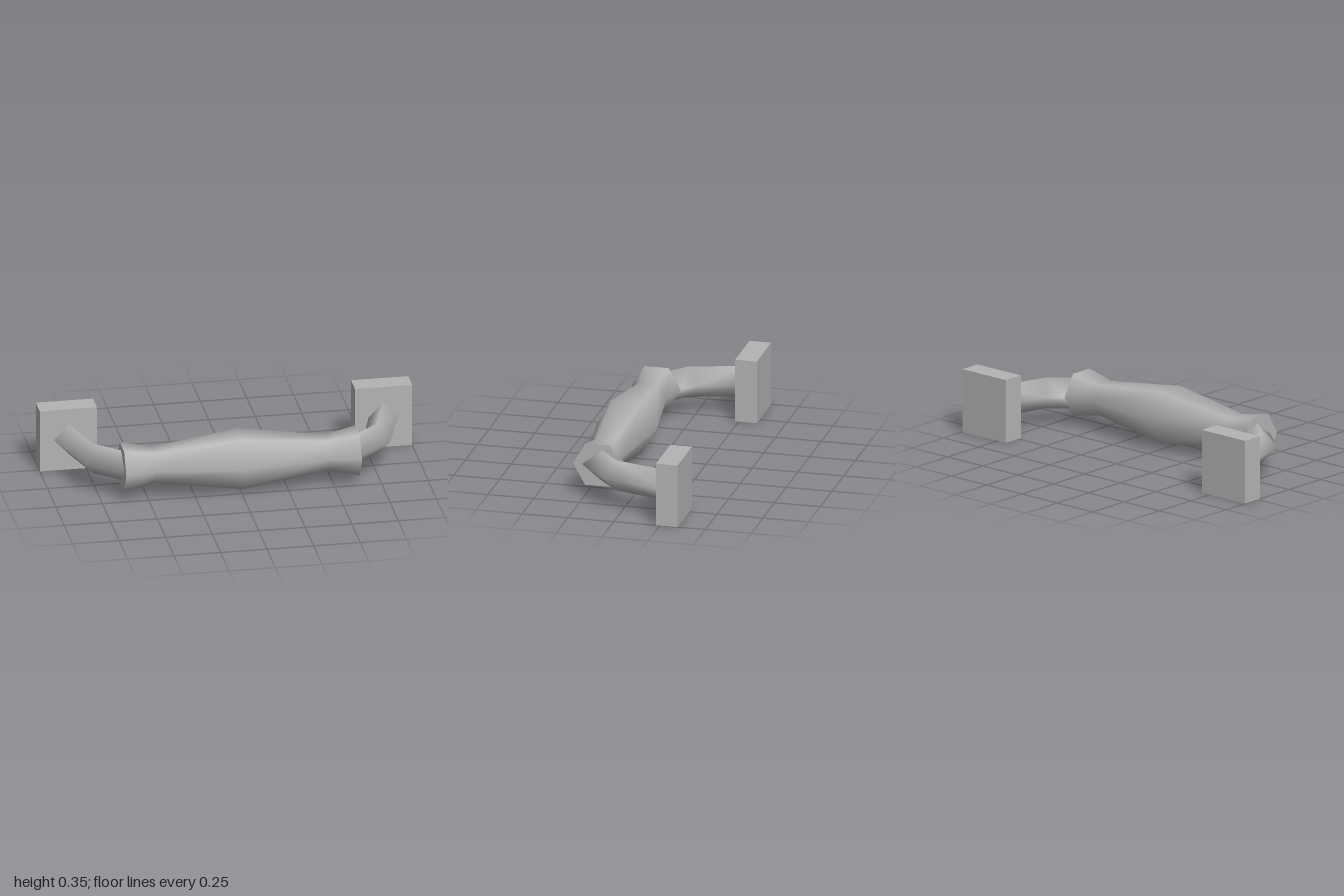
import * as THREE from 'three';

const MID_Y = 0.174;   // height of the handle axis
const GRIP_Z = 0.183;  // grip axis depth

// Four-sided bent tube with smooth normals; stations hold outer and inner [x, z]
function armGeometry(side) {
  const half = 0.085;
  const stations = [
    { outer: [0.93, -0.25], inner: [0.77, -0.25] },
    { outer: [0.82, 0.11], inner: [0.706, -0.02] },
    { outer: [0.63, 0.268], inner: [0.63, 0.052] },
  ];
  const pos = [], index = [];
  for (const { outer, inner } of stations) {
    const cx = (outer[0] + inner[0]) / 2, cz = (outer[1] + inner[1]) / 2;
    pos.push(side * outer[0], 0, outer[1], side * cx, half, cz);
    pos.push(side * inner[0], 0, inner[1], side * cx, -half, cz);
  }
  for (let i = 0; i < stations.length - 1; i++) {
    for (let j = 0; j < 4; j++) {
      const a = i * 4 + j, b = i * 4 + (j + 1) % 4, c = b + 4, d = a + 4;
      if (side > 0) index.push(a, b, c, a, c, d);
      else index.push(a, c, b, a, d, c);
    }
  }
  const g = new THREE.BufferGeometry();
  g.setAttribute('position', new THREE.Float32BufferAttribute(pos, 3));
  g.setIndex(index);
  g.computeVertexNormals();
  return g;
}

export function createModel() {
  const model = new THREE.Group();
  model.name = 'pullHandle';
  const metal = new THREE.MeshStandardMaterial({ color: 0xb4b4b4 });
  metal.name = 'grey metal';

  const add = (name, geometry, x, y, z) => {
    const mesh = new THREE.Mesh(geometry, metal);
    mesh.name = name;
    mesh.position.set(x, y, z);
    model.add(mesh);
  };

  // Six-sided grip: swollen middle, narrow necks, flared ends
  const profile = [[0.133, -0.633], [0.097, -0.465], [0.163, 0], [0.097, 0.465], [0.133, 0.633]]
    .map(([r, t]) => new THREE.Vector2(r, t));
  add('grip', new THREE.LatheGeometry(profile, 6).rotateZ(-Math.PI / 2), 0, MID_Y, GRIP_Z);

  for (const side of [1, -1]) {
    const label = side > 0 ? 'left' : 'right';
    // Flat end of the grip
    add(label + 'GripEnd', new THREE.CircleGeometry(0.133, 6).rotateY(side * Math.PI / 2),
      side * 0.633, MID_Y, GRIP_Z);
    // Bent arm from mounting plate to grip
    add(label + 'Arm', armGeometry(side), 0, MID_Y, 0);
    // Mounting plate
    add(label + 'MountingPlate', new THREE.BoxGeometry(0.307, 0.346, 0.118),
      side * 0.8465, 0.173, -0.29);
  }
  return model;
}
